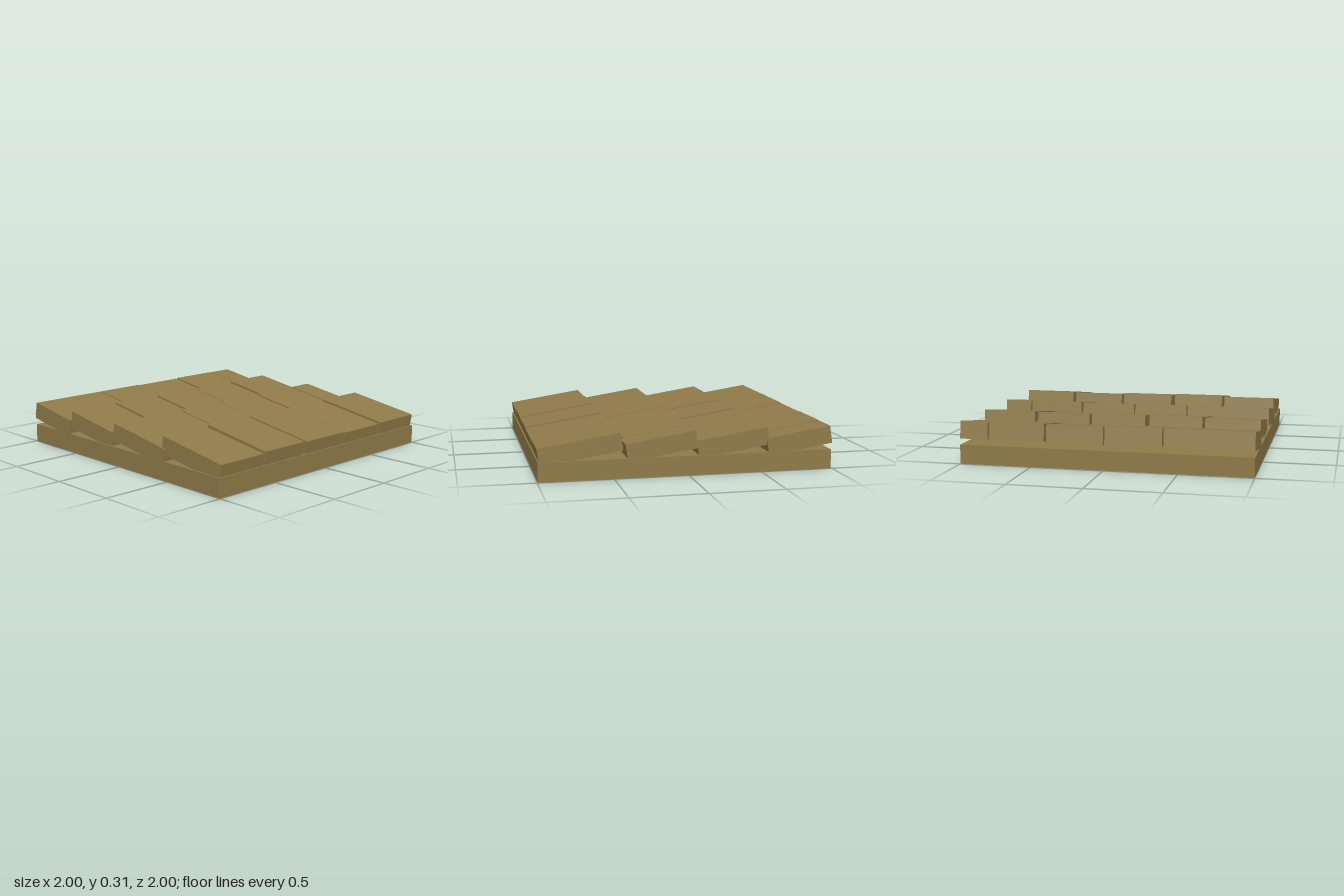
import * as THREE from 'three';

const TILT = 0.155;
const THICK = 0.12;

// Column edges of the two alternating course patterns
const EVEN = [[-0.99, -0.61], [-0.59, -0.22], [-0.19, 0.19], [0.21, 0.585], [0.61, 0.985]];
const STAGGERED = [[-1, -0.405], [-0.395, -0.01], [0, 0.39], [0.405, 0.79], [0.8, 0.995]];

// Each course: upper back edge, column pattern, front edge and height of each shingle
const COURSES = [
  { back: 0.455, cols: EVEN, fronts: [1, 1, 1, 1, 1], tops: [0.3, 0.31, 0.305, 0.297, 0.303] },
  { back: -0.045, cols: STAGGERED, fronts: [0.485, 0.445, 0.42, 0.405, 0.425], tops: [0.3, 0.3, 0.297, 0.3, 0.3] },
  { back: -0.543, cols: EVEN, fronts: [-0.07, -0.055, -0.05, -0.085, -0.055], tops: [0.3, 0.305, 0.303, 0.297, 0.302] },
  { back: -0.981, cols: STAGGERED, fronts: [-0.565, -0.555, -0.585, -0.56, -0.535], tops: [0.297, 0.297, 0.293, 0.297, 0.295] },
];

// A tilted slab whose upper back edge sits at the group's origin
function makeShingle([x0, x1], back, front, top, material) {
  const length = (front - back) / Math.cos(TILT);
  const geometry = new THREE.BoxGeometry(x1 - x0, THICK, length);
  geometry.translate(0, -THICK / 2, length / 2);
  const mesh = new THREE.Mesh(geometry, material);
  mesh.name = 'shingle';
  mesh.rotation.x = TILT;
  mesh.position.set((x0 + x1) / 2, top, back);
  return mesh;
}

export function createModel() {
  const model = new THREE.Group();
  model.name = 'shingledRoofPanel';
  const wood = new THREE.MeshStandardMaterial({ color: 0x8f7a48 });
  wood.name = 'brown wood';

  // Flat backing board
  const board = new THREE.Mesh(new THREE.BoxGeometry(2, 0.132, 1.988), wood);
  board.name = 'backingBoard';
  board.position.y = 0.066;
  board.position.z = 0.003;
  model.add(board);

  // Overlapping courses from front to back
  COURSES.forEach(({ back, cols, fronts, tops }, i) => {
    const course = new THREE.Group();
    course.name = `shingleCourse${i + 1}`;
    cols.forEach((col, j) => course.add(makeShingle(col, back, fronts[j], tops[j], wood)));
    model.add(course);
  });
  return model;
}
